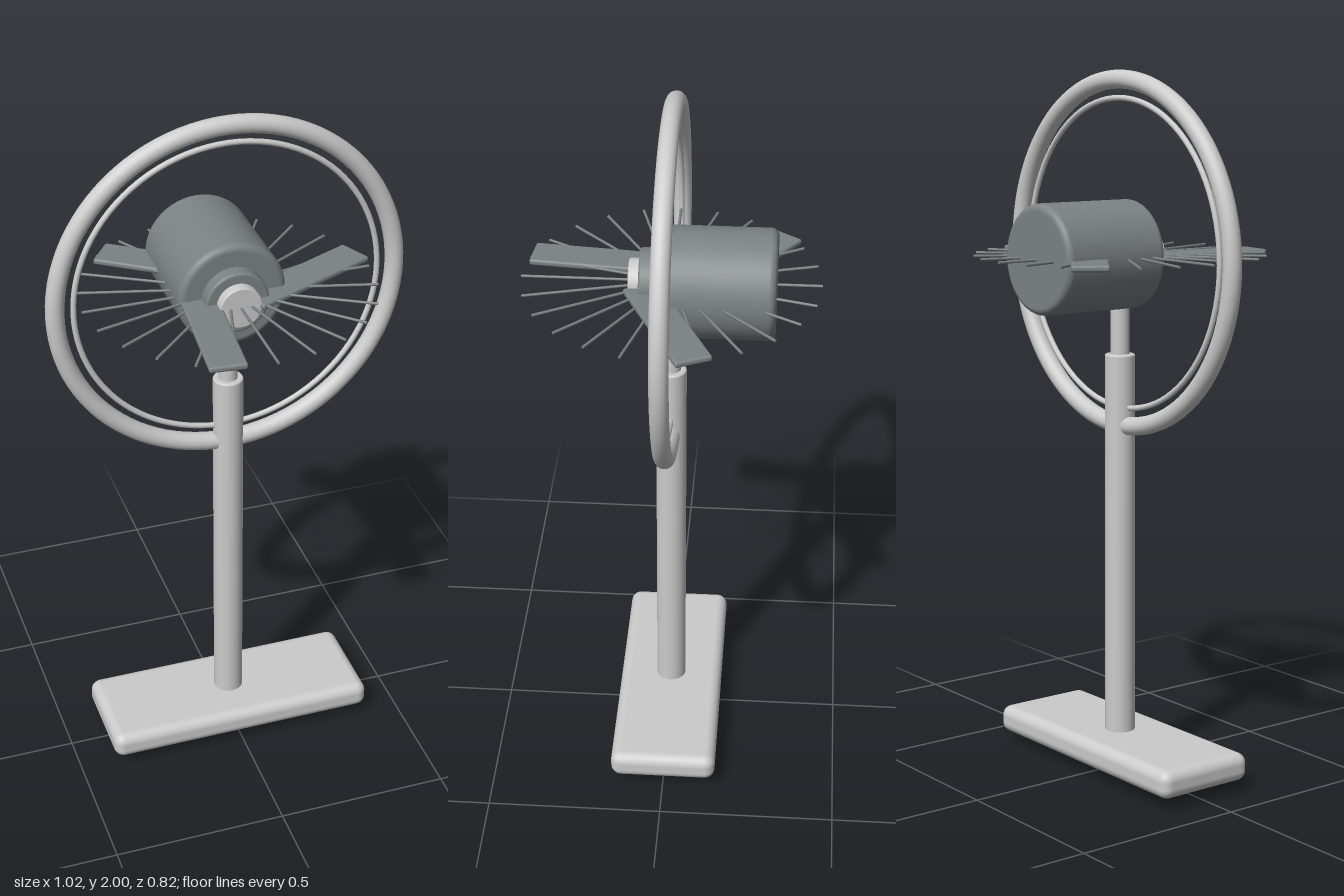
import * as THREE from 'three';
import { RoundedBoxGeometry } from 'three/addons/geometries/RoundedBoxGeometry.js';

const AXIS_Y = 1.49; // height of the ring and motor axis

export function createModel() {
  const model = new THREE.Group();
  const light = new THREE.MeshStandardMaterial({ color: 0xcccccc });
  const dark = new THREE.MeshStandardMaterial({ color: 0x7c8284 });

  const add = (name, geometry, material, x = 0, y = 0, z = 0, parent = model) => {
    const mesh = new THREE.Mesh(geometry, material);
    mesh.name = name;
    mesh.position.set(x, y, z);
    parent.add(mesh);
    return mesh;
  };

  // Solid cylinder with rounded rims, standing from y0 to y1
  const roundedCylinder = (r, y0, y1, b) => {
    const path = new THREE.Path();
    path.moveTo(0, y0);
    path.lineTo(r - b, y0);
    path.absarc(r - b, y0 + b, b, -Math.PI / 2, 0, false);
    path.absarc(r - b, y1 - b, b, 0, Math.PI / 2, false);
    path.lineTo(0, y1);
    const points = path.getPoints(6);
    points[0].x = points[points.length - 1].x = 0;
    return new THREE.LatheGeometry(points, 48);
  };

  // Stand
  add('base', new RoundedBoxGeometry(0.8, 0.08, 0.305, 5, 0.03), light, 0, 0.07, 0);
  add('pole', roundedCylinder(0.043, 0, 1.21, 0.006), light);
  add('upperPole', roundedCylinder(0.027, 1.15, 1.4, 0.003), light);

  // Outer guard ring and thin inner ring
  add('guardRing', new THREE.TorusGeometry(0.484, 0.026, 20, 96), light, 0, AXIS_Y, 0);
  add('innerRing', new THREE.TorusGeometry(0.433, 0.008, 12, 96), light, 0, AXIS_Y, 0);

  // Motor and stepped hub, turned so the lathe axis points forward
  const motor = new THREE.Group();
  motor.name = 'motorAssembly';
  motor.position.y = AXIS_Y;
  motor.rotation.x = Math.PI / 2;
  model.add(motor);
  add('motorHousing', roundedCylinder(0.153, -0.287, 0.045, 0.02), dark, 0, 0, 0, motor);
  add('hub', roundedCylinder(0.09, 0, 0.085, 0.008), dark, 0, 0, 0, motor);
  add('hubCap', roundedCylinder(0.06, 0.03, 0.115, 0.004), light, 0, 0, 0, motor);

  // Three flat blades, each set to one side of the centre
  const blades = new THREE.Group();
  blades.name = 'blades';
  blades.position.y = AXIS_Y - 0.002;
  model.add(blades);
  const bladeGeometry = new RoundedBoxGeometry(0.404, 0.018, 0.103, 3, 0.007);
  bladeGeometry.translate(0.202, 0, 0.09);
  for (let i = 0; i < 3; i++) {
    const blade = add('blade', bladeGeometry, dark, 0, 0, 0, blades);
    blade.rotation.y = -THREE.MathUtils.degToRad(95.5 + i * 120);
  }

  // Thin wires fanning out level with the axis
  const wires = new THREE.Group();
  wires.name = 'guardWires';
  wires.position.y = AXIS_Y;
  model.add(wires);
  const wireGeometry = new THREE.CylinderGeometry(0.004, 0.004, 0.36, 8);
  wireGeometry.rotateZ(Math.PI / 2).translate(0.23, 0, 0);
  for (let i = 0; i < 24; i++) {
    add('guardWire', wireGeometry, dark, 0, 0, 0, wires).rotation.y = (i * Math.PI) / 12;
  }

  return model;
}
